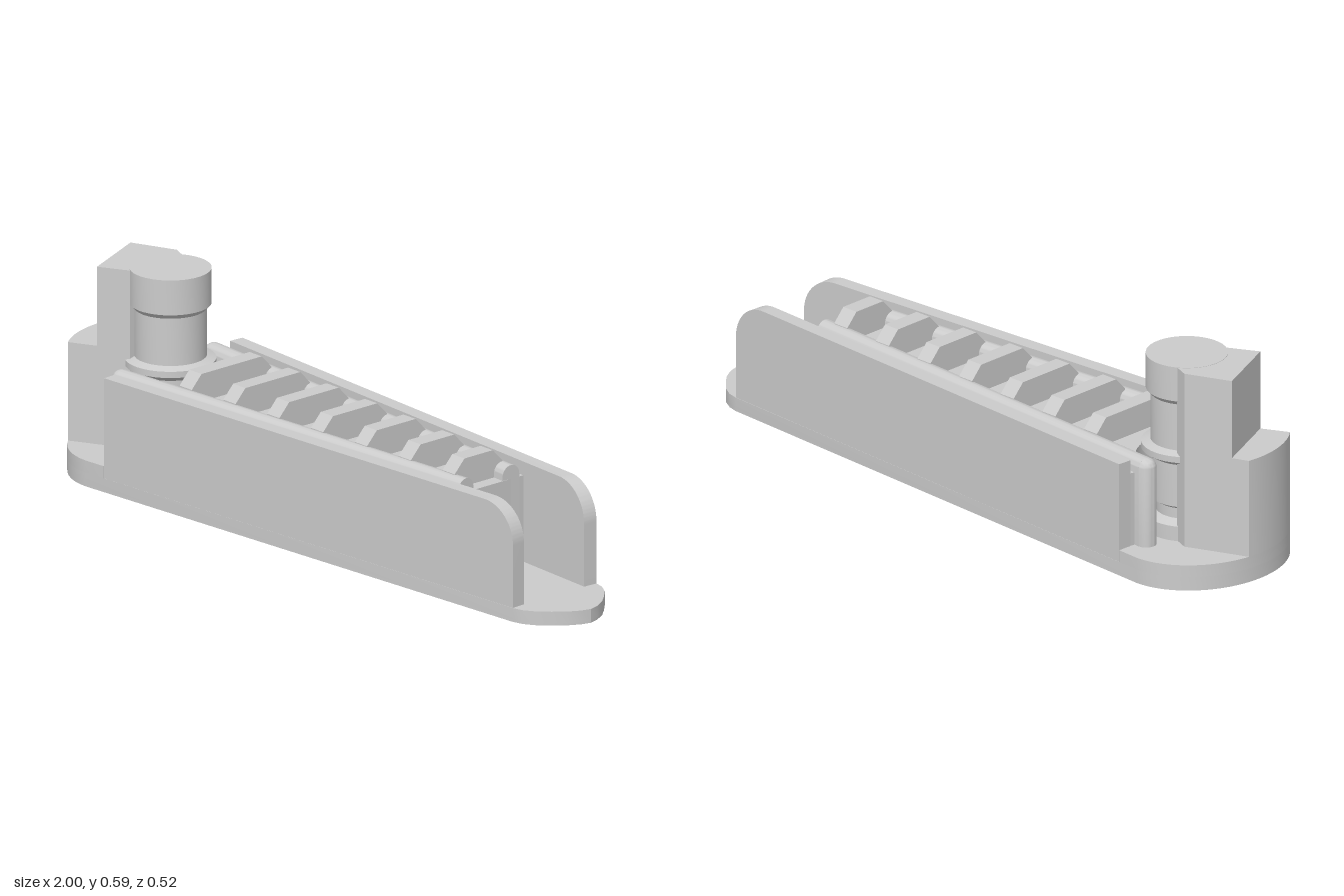
import * as THREE from 'three';
import { toCreasedNormals } from 'three/addons/utils/BufferGeometryUtils.js';

const material = new THREE.MeshStandardMaterial({ color: 0xcccccc });
const POST_X = -0.72;

export function createModel() {
  const model = new THREE.Group();

  function add(name, geometry) {
    const mesh = new THREE.Mesh(toCreasedNormals(geometry, 0.5), material);
    mesh.name = name;
    model.add(mesh);
    return mesh;
  }
  // Plan points are [x, z]; the prism rises from y0 to y1
  const toPoints = (pts) => pts.map(([x, z]) => new THREE.Vector2(x, -z));
  function prism(name, pts, y0, y1, hole) {
    const shape = new THREE.Shape(toPoints(pts));
    if (hole) shape.holes.push(new THREE.Path(toPoints(hole)));
    const g = new THREE.ExtrudeGeometry(shape, { depth: y1 - y0, bevelEnabled: false });
    g.rotateX(-Math.PI / 2).translate(0, y0, 0);
    return add(name, g);
  }
  function arc(cx, rx, rz, from, to, n) {
    return Array.from({ length: n + 1 }, (_, i) => {
      const a = from + (to - from) * i / n;
      return [cx + rx * Math.cos(a), rz * Math.sin(a)];
    });
  }
  const circle = (r) => arc(-0.74, r, r, 0, Math.PI * 2, 48).slice(0, -1);

  // Foot outline: round tail, tapering flanks, rounded nose
  function outline(inset) {
    const k = inset;
    const tail = arc(-0.78, 0.22 - k, 0.26 - k, Math.PI / 2, Math.PI * 1.5, 32);
    const half = [[0.85, 0.155], [0.882, 0.147], [0.915, 0.127], [0.945, 0.097],
      [0.972, 0.066], [0.992, 0.03]].map(([x, z]) => [x - k, Math.max(z - k, z * 0.4)]);
    return [...tail, ...half.map(([x, z]) => [x, -z]), [1 - k, 0], ...half.slice().reverse()];
  }

  // Base plate, with fine grooves around the underside
  prism('basePlate', outline(0), 0.007, 0.04);
  prism('undersideRim', outline(0), 0, 0.007, outline(0.02));
  prism('undersideBand', outline(0.027), 0, 0.007, outline(0.04));
  prism('undersidePanel', outline(0.047), 0, 0.007, circle(0.19));
  prism('undersideRing', circle(0.183), 0, 0.007, circle(0.14));
  prism('undersideDisc', circle(0.133), 0, 0.007);

  // Thicker tail
  prism('tailPlate', [...arc(-0.78, 0.22, 0.26, Math.PI / 2, Math.PI * 1.5, 32),
    [-0.71, -0.2555], [-0.71, 0.2555]], 0.04, 0.075);

  // Inner body with a hollow around the post
  prism('innerBody', [[-0.71, 0.212], [0.58, 0.132], [0.58, -0.132], [-0.71, -0.212],
    ...arc(POST_X, 0.14, 0.14, -Math.PI / 2, Math.PI / 2, 24)], 0.04, 0.29);

  // Side walls with a rounded front corner
  const wallLength = 1.563, wallAngle = Math.atan2(0.101, 1.56);
  const wallShape = new THREE.Shape();
  wallShape.moveTo(0, 0.02);
  wallShape.lineTo(wallLength, 0.02);
  wallShape.lineTo(wallLength, 0.22);
  wallShape.absarc(wallLength - 0.11, 0.22, 0.11, 0, Math.PI / 2, false);
  wallShape.lineTo(0, 0.33);

  // Ridge section: straight sides and a round top
  const r = 0.029;
  const ridgeShape = new THREE.Shape();
  ridgeShape.moveTo(-r, 0.04);
  ridgeShape.lineTo(r, 0.04);
  ridgeShape.lineTo(r, 0.301);
  ridgeShape.absarc(0, 0.301, r, 0, Math.PI, false);
  const ridgeLength = Math.hypot(1.31, 0.087), ridgeAngle = Math.atan2(0.087, 1.31);

  for (const s of [1, -1]) {
    const side = s > 0 ? 'front' : 'back';
    const wall = new THREE.ExtrudeGeometry(wallShape,
      { depth: 0.043, bevelEnabled: false, curveSegments: 16 });
    wall.translate(0, 0, -0.0215).rotateY(s * wallAngle).translate(-0.71, 0, s * 0.2335);
    add(side + 'Wall', wall);

    const ridge = new THREE.ExtrudeGeometry(ridgeShape,
      { depth: ridgeLength, bevelEnabled: false, curveSegments: 14 });
    ridge.rotateY(Math.PI / 2 + s * ridgeAngle).translate(-0.73, 0, s * 0.17);
    add(side + 'Ridge', ridge);

    // Rounded column where the ridge turns down
    const column = [new THREE.Vector2(r, 0.04)];
    for (let i = 0; i <= 8; i++) {
      const a = i / 8 * Math.PI / 2;
      column.push(new THREE.Vector2(r * Math.cos(a), 0.301 + r * Math.sin(a)));
    }
    add(side + 'RidgeColumn', new THREE.LatheGeometry(column, 20).translate(-0.73, 0, s * 0.17));
  }

  // Cross bars with sloping ends, narrowing towards the nose
  for (let i = 0; i < 7; i++) {
    const x = -0.495 + i * 0.1683;
    const w = 0.147 - i * 0.0098;
    const bar = new THREE.Shape(toPoints([[-w, -0.29], [w, -0.29], [w, -0.332],
      [w - 0.036, -0.37], [-w + 0.036, -0.37], [-w, -0.332]]));
    const g = new THREE.ExtrudeGeometry(bar, { depth: 0.05, bevelEnabled: false });
    add('crossBar' + (i + 1), g.rotateY(Math.PI / 2).translate(x - 0.025, 0, 0));
  }

  // Turned post: foot flange, stem, collar, neck and head
  const profile = [[0, 0.04], [0.139, 0.04], [0.139, 0.075], [0.115, 0.075], [0.115, 0.118],
    [0.085, 0.13], [0.085, 0.16], [0.1, 0.17], [0.1, 0.295], [0.126, 0.312], [0.126, 0.33],
    [0.1, 0.338], [0.1, 0.475], [0.113, 0.489], [0.113, 0.59], [0, 0.59]];
  add('post', new THREE.LatheGeometry(profile.map(([x, y]) => new THREE.Vector2(x, y)), 48)
    .translate(POST_X, 0, 0));

  // Stepped support block, set at an angle behind the post
  prism('upperSupport', [[-0.95, -0.06], [-0.86, 0.145], [-0.775, 0.1], [-0.775, -0.095],
    [-0.82, -0.113]], 0.075, 0.589);
  const edge = arc(-0.78, 0.22, 0.26, 2.36, Math.PI + 0.16, 14);
  prism('lowerSupport', [[-0.86, 0.145], ...edge, [-0.95, -0.06]], 0.075, 0.36);

  return model;
}
